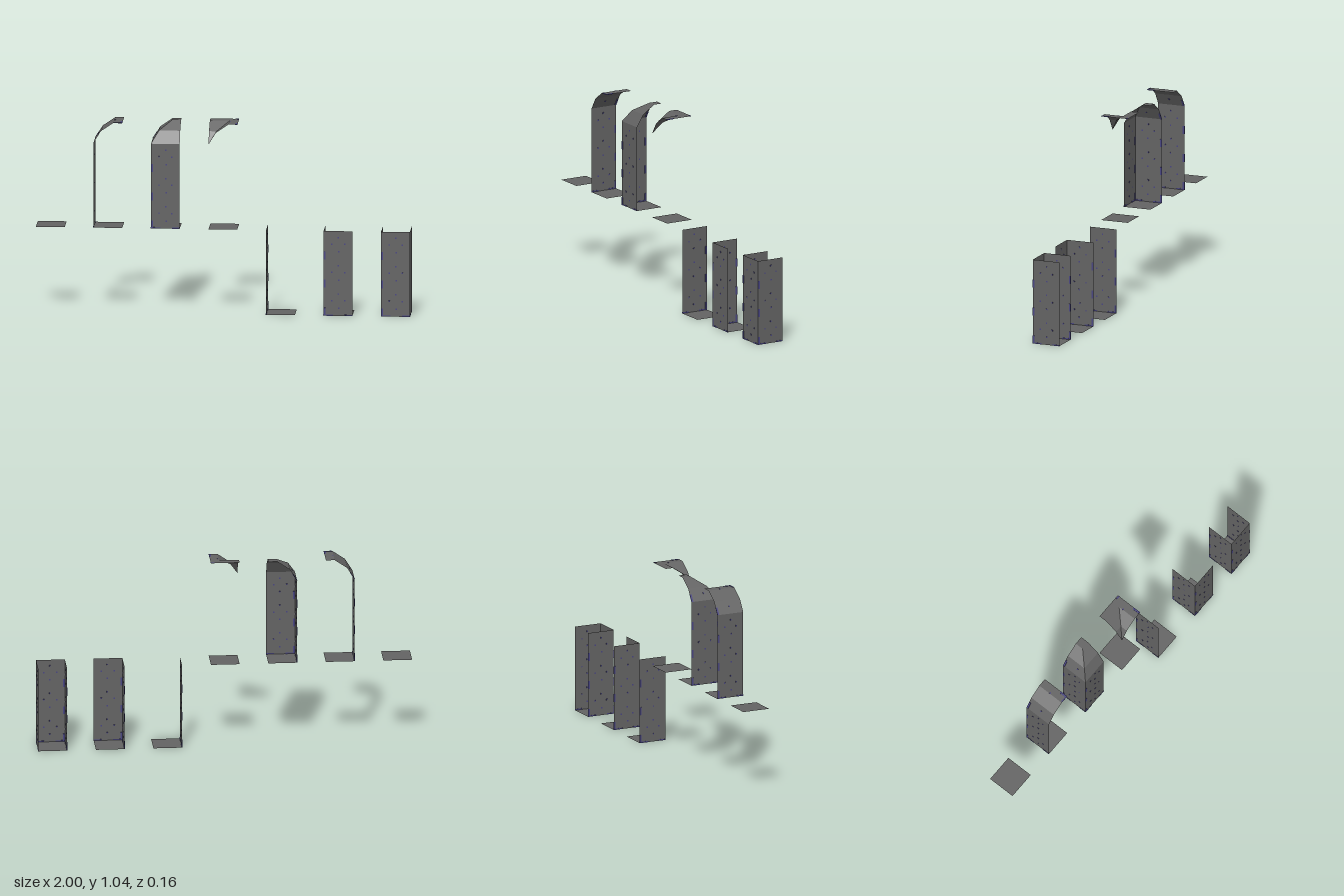
import * as THREE from 'three';
import { mergeGeometries } from 'three/addons/utils/BufferGeometryUtils.js';

const T = 2 / 13;          // tile width; tiles are spaced two widths apart
const WALL = 3 * T;        // wall height
const UPPER = 3 * T;       // base height of the upper storey pieces
const S = T / 16;          // size of one speck in the stone

// Ceiling profile: distance from the wall, height above the tile base
const PROFILE = [[0, 0.4615], [0.04, 0.526], [0.107, 0.572], [T, 0.572]];

// Blue specks of one square of stone: x, y, width, height in sixteenths
const EDGE = [0, 0, 1.1, 4.5];
const LOW_DOT = [8.1, 3.9, 0.8, 0.8];
const SIDE_DOT = [4.1, 8.2, 0.8, 0.8];
const SQUARE = [EDGE, LOW_DOT, SIDE_DOT, [11.3, 8.2, 0.8, 0.8], [7.9, 12, 0.8, 0.8]];
const BASE = [[1.1, 0, 4.2, 0.7], [11.7, 0, 4.3, 0.7]];

// Thin plates showing on both faces of a surface in the xy plane
const specks = (marks, squares = 1) => {
  const plates = [];
  for (let n = 0; n < squares; n++) {
    marks.forEach(([x, y, w, h]) => plates.push(
      new THREE.BoxGeometry(w * S, h * S, 0.003)
        .translate((x + w / 2) * S - T / 2, (y + h / 2) * S + n * T, 0)));
  }
  return mergeGeometries(plates);
};

export function createModel() {
  const model = new THREE.Group();
  model.name = 'modularTiles';
  const stone = new THREE.MeshStandardMaterial({ color: 0x636363, side: THREE.DoubleSide });
  stone.name = 'dark grey';
  const blue = new THREE.MeshStandardMaterial({ color: 0x484580 });
  blue.name = 'muted blue';

  const add = (group, name, geometry, material = stone) => {
    const mesh = new THREE.Mesh(geometry, material);
    mesh.name = name;
    group.add(mesh);
  };

  const floor = (group) => add(group, 'floor', new THREE.PlaneGeometry(T, T).rotateX(-Math.PI / 2));

  // Walls: angle 0 is the front, +-90 degrees are the sides
  const wall = (group, name, angle) => {
    const place = (geometry) => geometry.translate(0, 0, T / 2).rotateY(angle);
    add(group, name, place(new THREE.PlaneGeometry(T, WALL).translate(0, WALL / 2, 0)));
    const marks = mergeGeometries([specks(SQUARE, 3), specks(BASE)]);
    add(group, name + 'Specks', place(marks), blue);
  };

  // Faceted ceiling: pick(i, j) selects the profile step from the
  // steps away from the left edge (i) and from the front edge (j)
  const ceiling = (group, pick) => {
    const pos = [];
    const point = (i, j) => [
      PROFILE[i][0] - T / 2,
      PROFILE[pick(i, j)][1],
      T / 2 - PROFILE[j][0],
    ];
    for (let i = 0; i < 3; i++) {
      for (let j = 0; j < 3; j++) {
        const a = point(i, j), b = point(i + 1, j);
        const c = point(i + 1, j + 1), d = point(i, j + 1);
        pos.push(...a, ...b, ...c, ...a, ...c, ...d);
      }
    }
    const geometry = new THREE.BufferGeometry();
    geometry.setAttribute('position', new THREE.Float32BufferAttribute(pos, 3));
    geometry.computeVertexNormals();
    add(group, 'curvedCeiling', geometry);
  };

  // Specks on the lowest slope of a ceiling, above its side wall
  const slopeSpecks = (group) => {
    const lean = Math.atan2(PROFILE[1][0], PROFILE[1][1] - PROFILE[0][1]);
    const marks = specks([EDGE, LOW_DOT]).rotateX(-lean)
      .translate(0, WALL, T / 2).rotateY(-Math.PI / 2);
    add(group, 'slopeSpecks', marks, blue);
  };

  // Specks on the flat top of a ceiling, mirrored to face downwards
  const topSpecks = (group, marks) =>
    add(group, 'topSpecks', specks(marks).rotateY(Math.PI).rotateX(-Math.PI / 2)
      .translate(0, PROFILE[3][1], T / 2), blue);

  const FRONT = ['frontWall', 0];
  const SIDE_A = ['sideWall', -Math.PI / 2];
  const SIDE_B = ['oppositeSideWall', Math.PI / 2];
  const STRAIGHT_TOP = [EDGE, SIDE_DOT, [1.1, 0, 3.4, 0.7]];
  const CORNER_TOP = [EDGE, SIDE_DOT, [0, 14.8, 2, 0.8]];

  // Upper storey pieces first, then lower storey pieces, along x
  const tiles = [
    { name: 'upperFloorTile', y: UPPER, walls: [] },
    { name: 'upperWallTile', y: UPPER, walls: [SIDE_A], pick: (i) => i, slope: true, top: STRAIGHT_TOP },
    { name: 'upperOuterCornerTile', y: UPPER, walls: [FRONT, SIDE_A], pick: Math.min, slope: true },
    { name: 'upperInnerCornerTile', y: UPPER, walls: [], pick: Math.max, top: CORNER_TOP },
    { name: 'lowerWallTile', y: 0, walls: [SIDE_A] },
    { name: 'lowerCornerTile', y: 0, walls: [FRONT, SIDE_A] },
    { name: 'lowerEndTile', y: 0, walls: [FRONT, SIDE_A, SIDE_B] },
  ];

  tiles.forEach(({ name, y, walls, pick, slope, top }, n) => {
    const tile = new THREE.Group();
    tile.name = name;
    tile.position.set((n - 3) * 2 * T, y, 0);
    floor(tile);
    walls.forEach(([wallName, angle]) => wall(tile, wallName, angle));
    if (pick) ceiling(tile, pick);
    if (slope) slopeSpecks(tile);
    if (top) topSpecks(tile, top);
    model.add(tile);
  });

  return model;
}
